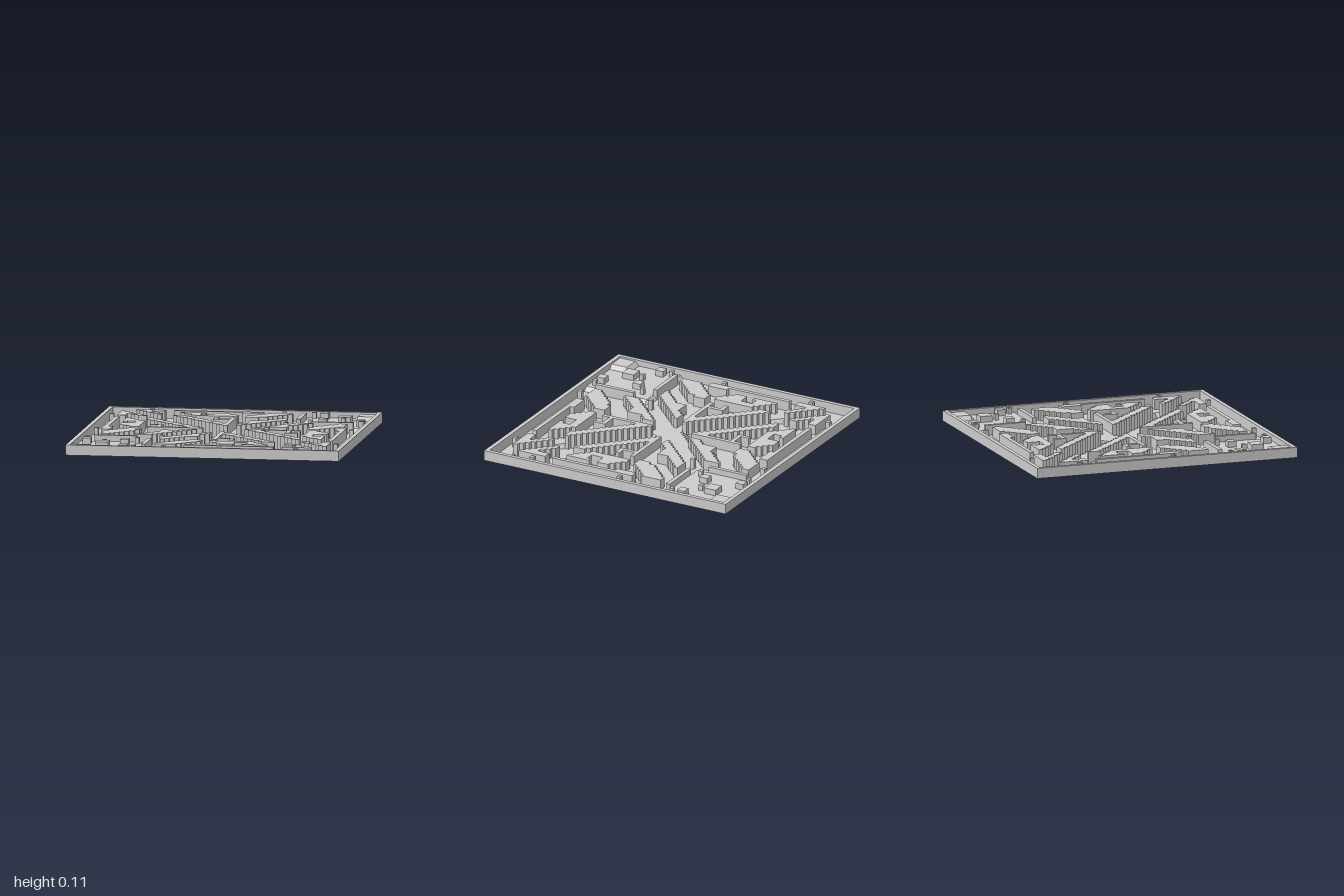
import * as THREE from 'three';

// The board is a 64 x 64 grid of square cells
const N = 64, CELL = 2 / N;
const FLOOR = CELL, BASE = 2 * CELL, PLATFORM = 3 * CELL, TOP = 0.107;

// Outlines of the wall blocks in one quarter, as x, z pairs in cells
const QUARTER_WALLS = [
  [16, 4, 32, 4, 32, 4.1, 37, 4.1, 37, 6, 32, 6, 32, 5, 16, 5],          // long outer bar
  [7, 4, 14, 4, 14, 6, 11, 6, 14, 9, 14, 11, 13.3, 11, 7, 4.7],          // wedge at the channel end
  [16.6, 12, 20, 12, 31, 23, 31, 14, 32, 14, 32, 27.4],                  // channel bank
  [27, 14, 28, 14, 28, 16, 31, 16, 31, 17, 27, 17],                      // hook behind the bank
  [18, 7, 25, 7, 23, 8, 23, 10, 26, 10, 26, 7, 29, 7, 32, 10, 32, 12, 23, 12],
  [34, 11, 40, 5, 44, 5, 44, 7, 38, 12, 36, 13, 34, 13],
  [36, 18, 39, 18, 44, 12, 44, 16, 34, 27, 34, 24, 37, 21, 36, 21],      // bank of the middle lane
];

// Low walls round a raised corner: x, z, width, depth
const BASE_WALLS = [[50, 17, 10, 1], [46, 4, 1, 10]];

// Square blocks: x, z, size
const BLOCKS = [
  [10, 2, 1], [41, 2, 1], [61, 52, 1], [61, 29, 1], [44, 19, 1],
  [48, 2, 1], [50, 2, 2], [55, 6, 3], [51, 11, 2], [56, 10, 1],
  [60, 12, 2], [61, 15, 1], [49, 14, 1],
];

function inside(poly, x, z) {
  let hit = false;
  for (let i = 0, j = poly.length - 2; i < poly.length; j = i, i += 2) {
    const [ax, az, bx, bz] = [poly[i], poly[i + 1], poly[j], poly[j + 1]];
    if ((az > z) !== (bz > z) && x < ((bx - ax) * (z - az)) / (bz - az) + ax) hit = !hit;
  }
  return hit;
}

// Ground height at a grid corner; neighbouring levels join with one-cell ramps
function ground(x, z) {
  if (x + (N - z) < N) return ground(N - x, N - z);
  if (x >= 59 && z <= 5) return PLATFORM;
  if (x >= 47 && z <= 17) return BASE;
  const along = Math.min(x + z, 2 * N - x - z);
  const halfWidth = along < 24 ? 2 : 5;
  return along >= 12 && along <= 58 && Math.abs(x - z) <= halfWidth ? 0 : FLOOR;
}

// Says what stands on each cell
function layout() {
  const grid = Array.from({ length: N }, () => Array(N).fill('floor'));
  const both = (x, z, kind) => {
    grid[x][z] = kind;
    grid[N - 1 - x][N - 1 - z] = kind;
  };
  const rect = (x, z, w, d, kind) => {
    for (let i = x; i < x + w; i++) for (let j = z; j < z + d; j++) both(i, j, kind);
  };
  for (let x = 0; x < N; x++) {
    for (let z = 0; z < N; z++) {
      if (QUARTER_WALLS.some((p) => inside(p, x + 0.5, z + 0.5))) {
        both(x, z, 'walls');
        both(N - 1 - z, N - 1 - x, 'walls');
      }
    }
  }
  BASE_WALLS.forEach(([x, z, w, d]) => rect(x, z, w, d, 'baseWalls'));
  BLOCKS.forEach(([x, z, s]) => rect(x, z, s, s, 'blocks'));
  rect(0, 0, N, 1, 'rim');
  rect(0, 0, 1, N, 'rim');
  return grid;
}

export function createModel() {
  const group = new THREE.Group();
  group.name = 'mazeBoard';
  const grid = layout();
  const parts = { floor: [], walls: [], baseWalls: [], blocks: [], rim: [] };

  const quad = (out, a, b, c, d) => {
    for (const [x, y, z] of [a, b, c, a, c, d]) out.push(x * CELL - 1, y, z * CELL - 1);
  };

  for (let x = 0; x < N; x++) {
    for (let z = 0; z < N; z++) {
      const kind = grid[x][z];
      const out = parts[kind];
      const raised = kind !== 'floor';
      const h = (i, j) => (raised ? TOP : ground(i, j));
      // Upper face of the cell
      quad(out, [x, h(x, z), z], [x, h(x, z + 1), z + 1],
        [x + 1, h(x + 1, z + 1), z + 1], [x + 1, h(x + 1, z), z]);
      if (!raised) continue;
      // Sides, wherever the neighbour is lower
      const sides = [
        [0, 1, x, z + 1, x + 1, z + 1], [0, -1, x + 1, z, x, z],
        [1, 0, x + 1, z + 1, x + 1, z], [-1, 0, x, z, x, z + 1],
      ];
      for (const [dx, dz, ax, az, bx, bz] of sides) {
        const next = grid[x + dx]?.[z + dz];
        if (next && next !== 'floor') continue;
        const low = (i, j) => (next ? ground(i, j) : FLOOR);
        quad(out, [ax, low(ax, az), az], [bx, low(bx, bz), bz], [bx, TOP, bz], [ax, TOP, az]);
      }
    }
  }

  const material = new THREE.MeshStandardMaterial({
    color: 0xcccccc, flatShading: true, side: THREE.DoubleSide,
  });
  for (const [name, points] of Object.entries(parts)) {
    const geometry = new THREE.BufferGeometry();
    geometry.setAttribute('position', new THREE.Float32BufferAttribute(points, 3));
    geometry.computeVertexNormals();
    const mesh = new THREE.Mesh(geometry, material);
    mesh.name = name;
    group.add(mesh);
  }
  return group;
}
